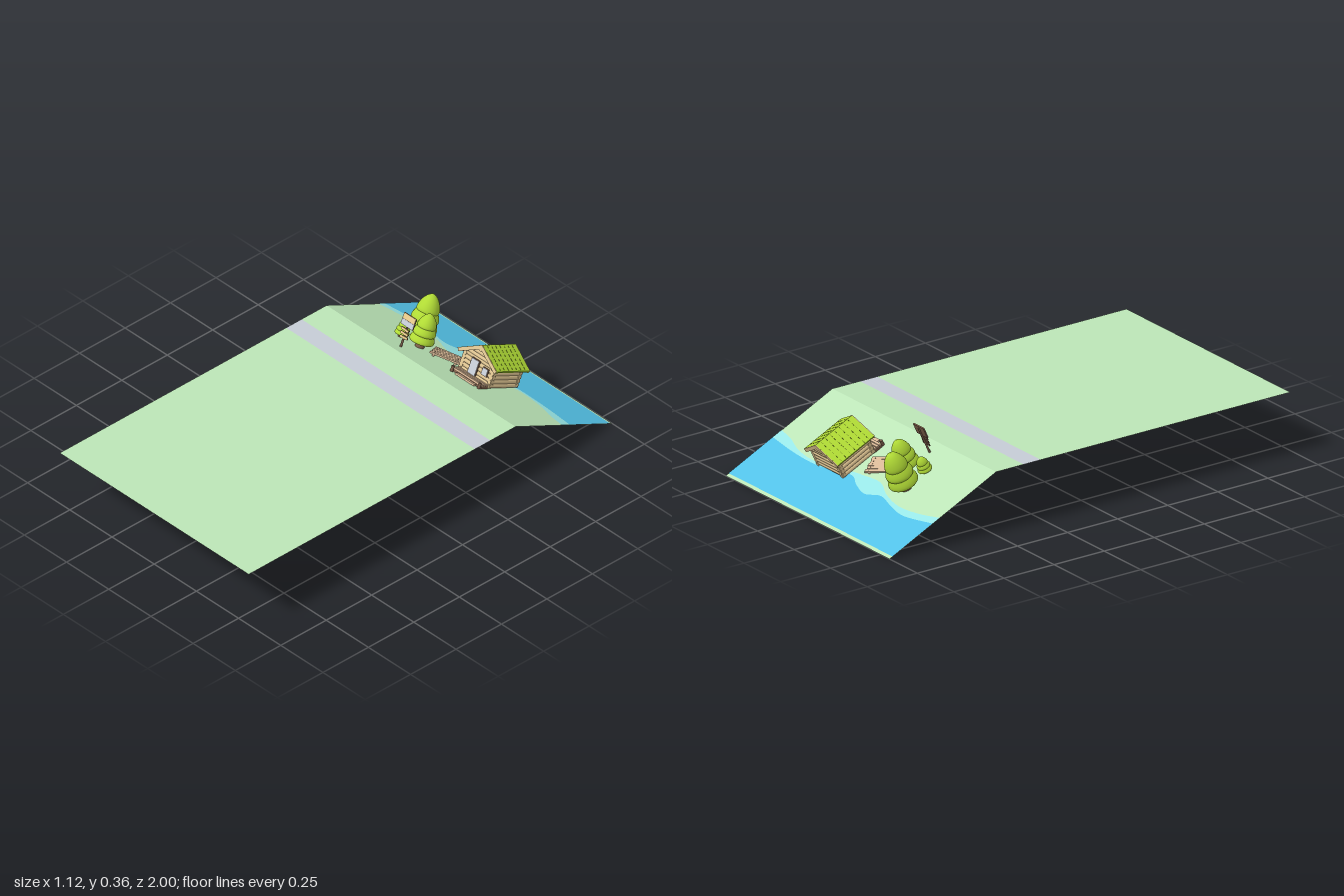
import * as THREE from 'three';

const mat = (name, color, side = THREE.FrontSide) => {
  const m = new THREE.MeshStandardMaterial({ color, side });
  m.name = name;
  return m;
};
const M = {
  grass: mat('grass', 0xbce5b7, THREE.DoubleSide),
  road: mat('roadGrey', 0xc6ccd5, THREE.DoubleSide),
  water: mat('water', 0x54c4ea),
  foam: mat('shallows', 0x97e6e6),
  leaf: mat('leafGreen', 0xb0da35),
  seam: mat('roofSeam', 0x6a8420),
  wood: mat('lightWood', 0xdcc290),
  plank: mat('plankWood', 0xd8b896),
  dark: mat('darkWood', 0x7a5c48),
  ochre: mat('ochre', 0xe8cc8c),
};

const W = 0.56, RIDGE_Y = 0.253, RIDGE_Z = -0.468;
const TILT = Math.atan2(RIDGE_Y, 1 + RIDGE_Z);
const SLOPE = Math.hypot(RIDGE_Y, 1 + RIDGE_Z);

function add(parent, name, geo, material, x = 0, y = 0, z = 0) {
  const mesh = new THREE.Mesh(geo, material);
  mesh.name = name;
  mesh.position.set(x, y, z);
  parent.add(mesh);
  return mesh;
}
const box = (p, name, m, w, h, d, x, y, z) => add(p, name, new THREE.BoxGeometry(w, h, d), m, x, y, z);

// Log lying along x, or along z
function log(p, name, m, r, len, x, y, z, alongZ = false) {
  const geo = new THREE.CylinderGeometry(r, r, len, 10);
  if (alongZ) geo.rotateX(Math.PI / 2);
  else geo.rotateZ(Math.PI / 2);
  return add(p, name, geo, m, x, y, z);
}

// Flat strip of ground between two edge lines given as (x, distance toward -z)
function band(p, name, m, near, far, y = 0) {
  const shape = new THREE.Shape([...near, ...[...far].reverse()]);
  return add(p, name, new THREE.ShapeGeometry(shape).rotateX(-Math.PI / 2), m, 0, y, 0);
}
const straight = d => [new THREE.Vector2(-W, d), new THREE.Vector2(W, d)];
const shore = pts => new THREE.SplineCurve(
  pts.map(([x, d]) => new THREE.Vector2(x, (d + RIDGE_Z) / Math.cos(TILT)))).getPoints(60);

function tree(p, x, s, height, r) {
  const g = new THREE.Group();
  g.name = 'tree';
  g.position.set(x, 0, -s);
  p.add(g);
  add(g, 'trunk', new THREE.CylinderGeometry(r * 0.3, r * 0.38, height * 0.28, 16, 1, true), M.dark, 0, height * 0.14, 0);
  // Three overlapping bell-shaped tiers: base, height and radius
  for (const [y, h, k] of [[0.13, 0.45, 1], [0.35, 0.43, 0.92], [0.56, 0.44, 0.76]]) {
    const profile = new THREE.SplineCurve([[0, 0.03], [0.75, 0], [1, 0.16], [0.8, 0.55], [0.42, 0.86], [0, 1]]
      .map(([a, b]) => new THREE.Vector2(a * r * k, b * h * height))).getPoints(18);
    profile.forEach(v => { v.x = Math.max(0, v.x); });
    add(g, 'foliage', new THREE.LatheGeometry(profile, 24), M.leaf, 0, y * height, 0);
  }
}

function cabin(p) {
  const g = new THREE.Group();
  g.name = 'cabin';
  g.position.set(0.135, 0, 0);
  p.add(g);
  const front = -0.185, back = -0.343, mid = (front + back) / 2, half = 0.083, r = 0.0095;

  // Log walls with crossing ends
  for (let i = 0; i < 5; i++) {
    const y = 0.012 + i * 0.018;
    for (const side of [-1, 1]) log(g, 'sideLog', M.wood, r, 0.178, side * half, y, mid, true);
    for (const z of [front, back]) log(g, 'endLog', M.wood, r, 0.186, 0, y + 0.004, z);
  }
  box(g, 'wallCore', M.dark, half * 2, 0.088, 0.156, 0, 0.049, mid);
  // Gable logs shorten toward the ridge
  for (let i = 0; i < 3; i++)
    for (const z of [front, back]) log(g, 'gableLog', M.wood, r, 0.15 - i * 0.052, 0, 0.1 + i * 0.016, z);

  // Door and window on the front
  box(g, 'doorFrame', M.dark, 0.046, 0.074, 0.008, -0.015, 0.049, front + 0.009);
  box(g, 'door', M.road, 0.04, 0.069, 0.008, -0.015, 0.048, front + 0.011);
  box(g, 'windowFrame', M.dark, 0.034, 0.034, 0.008, 0.048, 0.058, front + 0.009);
  box(g, 'window', M.road, 0.028, 0.028, 0.008, 0.048, 0.058, front + 0.011);

  // Roof slopes with dashed seams, trim boards and eave beams
  const roofMid = -0.262, roofLen = 0.2, pitch = Math.atan2(0.065, 0.115), span = 0.132;
  for (const side of [-1, 1]) {
    const slope = new THREE.Group();
    slope.name = 'roofSlope';
    slope.position.set(0, 0.156, roofMid);
    slope.rotation.z = -side * pitch;
    g.add(slope);
    box(slope, 'roofBoards', M.leaf, span, 0.01, roofLen, side * span / 2, -0.005, 0);
    for (let i = 1; i < 8; i++)
      for (let j = 0; j < 6; j++)
        box(slope, 'roofSeam', M.seam, 0.013, 0.001, 0.002,
          side * (0.012 + j * 0.0215), 0.0005, -roofLen / 2 + i * roofLen / 8);
    for (const e of [-1, 1])
      box(slope, 'gableTrim', M.wood, span, 0.016, 0.004, side * span / 2, -0.0085, e * (roofLen / 2 + 0.001));
    box(slope, 'eaveBeam', M.dark, 0.007, 0.008, roofLen - 0.012, side * (span - 0.016), -0.013, 0);
  }
  log(g, 'ridgeBeam', M.wood, 0.008, 0.206, 0, 0.136, roofMid, true);

  // Porch deck, step and short corner posts
  box(g, 'porchBase', M.dark, 0.172, 0.012, 0.042, 0, 0.006, -0.157);
  for (let i = 0; i < 3; i++)
    box(g, 'porchPlank', M.plank, 0.172, 0.006, 0.0105, 0, 0.015, -0.168 + i * 0.0135);
  box(g, 'step', M.plank, 0.11, 0.008, 0.014, 0.005, 0.006, -0.124);
  for (const side of [-1, 1])
    add(g, 'porchPost', new THREE.CylinderGeometry(0.007, 0.007, 0.024, 10), M.dark, side * 0.08, 0.013, -0.128);
}

// Plank platform resting on two cross beams
function platform(p) {
  const g = new THREE.Group();
  g.name = 'plankPlatform';
  g.position.set(-0.06, 0, -0.217);
  g.rotation.y = 0.48;
  p.add(g);
  for (const x of [-0.048, 0.048]) log(g, 'crossBeam', M.plank, 0.005, 0.086, x, 0.0035, 0, true);
  for (let i = 0; i < 5; i++)
    box(g, 'plank', M.plank, 0.132 - (i % 2) * 0.008, 0.007, 0.0165, 0, 0.012, (i - 2) * 0.0185);
  for (const x of [-0.048, 0.048])
    for (let i = 0; i < 5; i++)
      box(g, 'peg', M.dark, 0.004, 0.001, 0.004, x, 0.0158, (i - 2) * 0.0185);
}

function signpost(p) {
  const g = new THREE.Group();
  g.name = 'signpost';
  g.position.set(-0.177, 0, -0.054);
  p.add(g);
  add(g, 'post', new THREE.CylinderGeometry(0.004, 0.005, 0.15, 8), M.dark, 0, 0.053, -0.004);
  box(g, 'signBoard', M.dark, 0.071, 0.05, 0.005, 0, 0.113, 0);
  box(g, 'signTop', M.ochre, 0.069, 0.024, 0.002, 0, 0.1255, 0.003);
  box(g, 'signBottom', M.road, 0.069, 0.024, 0.002, 0, 0.1005, 0.003);
  [0.074, 0.058, 0.043].forEach((y, i) => {
    const arrow = new THREE.Group();
    arrow.name = 'arrowPlank';
    arrow.position.set((i - 1) * 0.003, y, 0.001);
    arrow.rotation.z = (i - 1) * 0.08;
    g.add(arrow);
    box(arrow, 'arrowBack', M.dark, 0.044, 0.011, 0.004, 0, 0, 0);
    box(arrow, 'arrowFace', M.ochre, 0.042, 0.0095, 0.002, 0, 0, 0.002);
  });
}

export function createModel() {
  const root = new THREE.Group();
  root.name = 'lakesideCampCard';

  // Level front sheet with a road band
  const level = new THREE.Group();
  level.name = 'levelSheet';
  level.position.y = RIDGE_Y;
  root.add(level);
  band(level, 'frontLawn', M.grass, straight(-1), straight(0.245));
  band(level, 'road', M.road, straight(0.245), straight(0.33));
  band(level, 'verge', M.grass, straight(0.33), straight(-RIDGE_Z));

  // Sheet sloping down to the back, with the lake painted on its top only
  const slope = new THREE.Group();
  slope.name = 'slopedSheet';
  slope.position.set(0, RIDGE_Y, RIDGE_Z);
  slope.rotation.x = -TILT;
  root.add(slope);
  const land = shore([[-W, 0.75], [-0.45, 0.775], [-0.33, 0.785], [-0.22, 0.765], [-0.13, 0.73],
    [-0.02, 0.735], [0.1, 0.75], [0.25, 0.775], [0.38, 0.765], [0.48, 0.735], [W, 0.722]]);
  const edge = shore([[-W, 0.785], [-0.4, 0.812], [-0.3, 0.8], [-0.2, 0.78], [-0.12, 0.803],
    [-0.04, 0.785], [0.03, 0.757], [0.13, 0.775], [0.25, 0.787], [0.4, 0.782], [W, 0.765]]);
  band(slope, 'slopeLawn', M.grass, straight(0), straight(SLOPE));
  band(slope, 'shallows', M.foam, land, edge, 0.0015);
  band(slope, 'lake', M.water, edge, straight(SLOPE - 0.016), 0.0015);

  tree(slope, -0.264, 0.257, 0.19, 0.064);
  tree(slope, -0.17, 0.165, 0.148, 0.053);
  tree(slope, -0.264, 0.147, 0.078, 0.031);
  cabin(slope);
  platform(slope);
  signpost(slope);
  return root;
}
